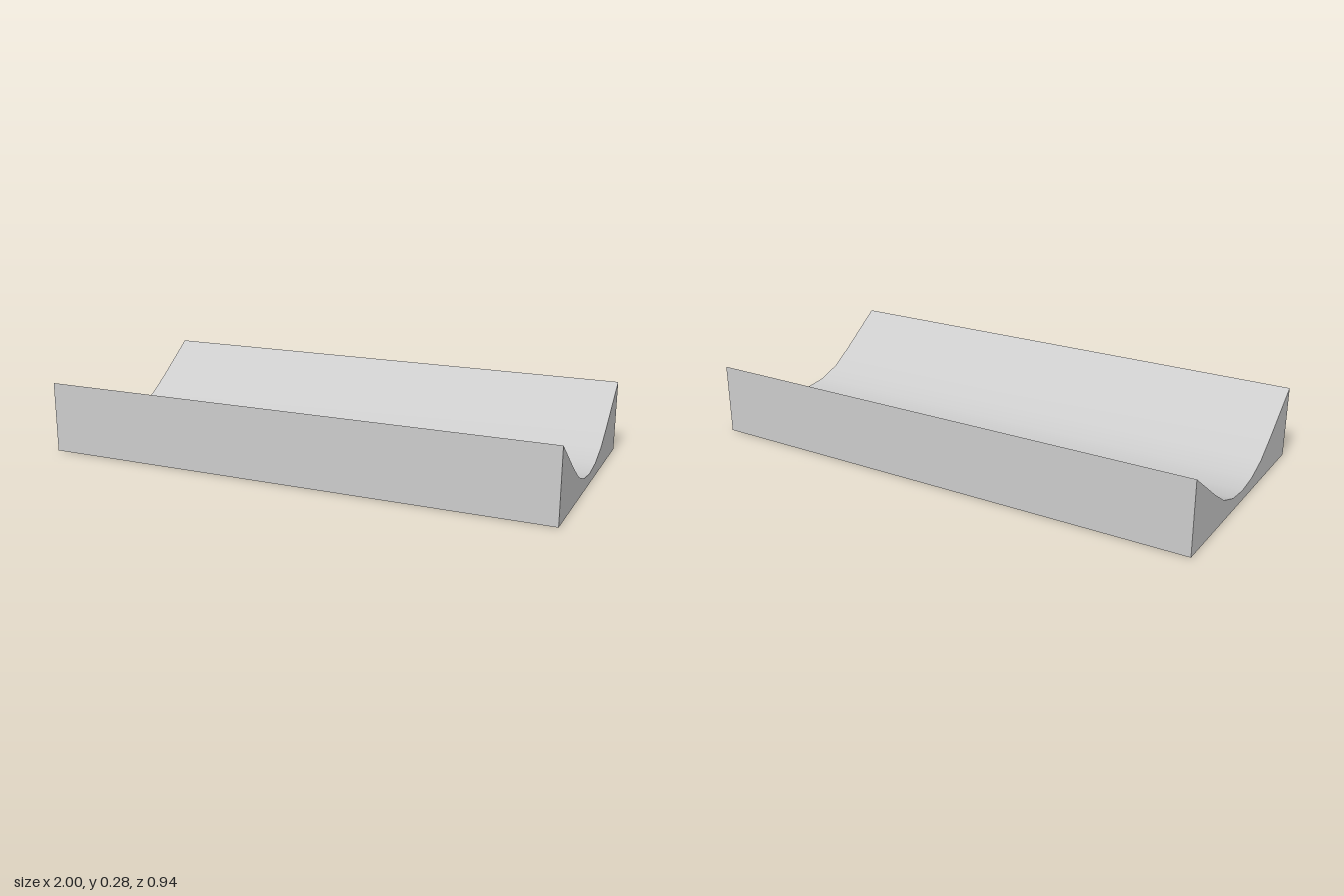
import * as THREE from 'three';
import { toCreasedNormals } from 'three/addons/utils/BufferGeometryUtils.js';

const LENGTH = 2;

// Half of the hollow's cross-section, from the centre out to the rim: [z, y]
const HALF = [[0, 0.04], [0.095, 0.05], [0.19, 0.083], [0.284, 0.143], [0.377, 0.209], [0.47, 0.275]];

export function createModel() {
  const group = new THREE.Group();
  group.name = 'troughBlock';

  // Flat base and upright sides, closed by the mirrored hollow
  const rim = HALF[HALF.length - 1][0];
  const mirrored = HALF.slice(1).reverse().map(([z, y]) => [-z, y]);
  const outline = [[rim, 0], ...[...HALF].reverse(), ...mirrored.reverse().map((p) => p), [-rim, 0]];
  const shape = new THREE.Shape(outline.map(([z, y]) => new THREE.Vector2(z, y)));

  // Extrude along x; the hollow is smooth while the outer edges stay sharp
  const extruded = new THREE.ExtrudeGeometry(shape, { depth: LENGTH, bevelEnabled: false });
  extruded.translate(0, 0, -LENGTH / 2);
  extruded.rotateY(Math.PI / 2);
  const geometry = toCreasedNormals(extruded, 0.6);

  const trough = new THREE.Mesh(geometry, new THREE.MeshStandardMaterial({ color: 0xcccccc }));
  trough.name = 'trough';
  group.add(trough);
  return group;
}
